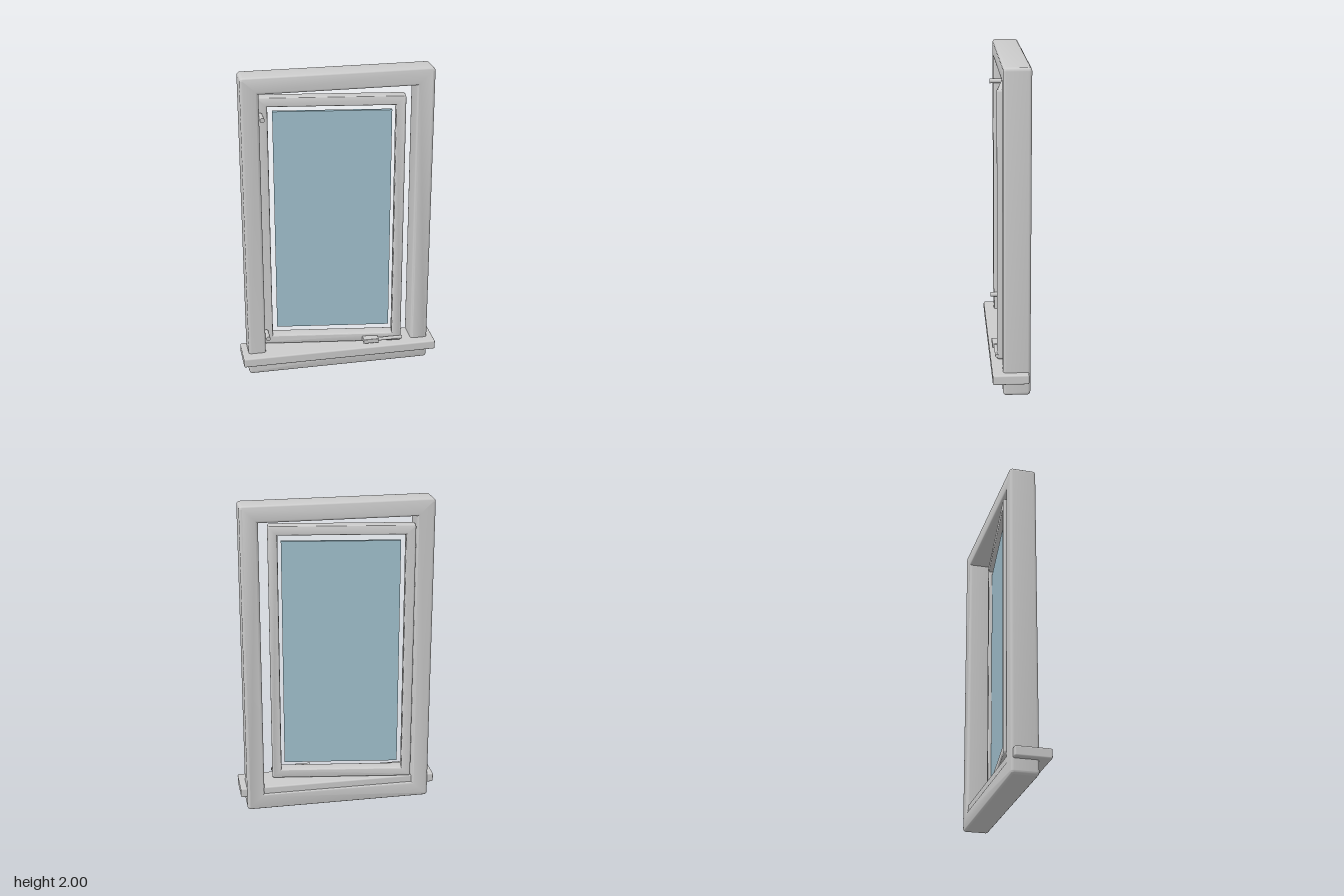
import * as THREE from 'three';
import { RoundedBoxGeometry } from 'three/addons/geometries/RoundedBoxGeometry.js';
import { toCreasedNormals } from 'three/addons/utils/BufferGeometryUtils.js';

const grey = new THREE.MeshStandardMaterial({ color: 0xcccccc });
const blue = new THREE.MeshStandardMaterial({ color: 0x9fbecb });

function addMesh(parent, name, geometry, material, x, y, z) {
  const mesh = new THREE.Mesh(geometry, material);
  mesh.name = name;
  mesh.position.set(x, y, z);
  parent.add(mesh);
  return mesh;
}

// Rectangular ring with rounded edges, centred on the origin
function ringGeometry(width, height, depth, openingW, openingH, bevel) {
  const r = 0.004;
  const w = width / 2 - bevel, h = height / 2 - bevel;
  const shape = new THREE.Shape();
  shape.absarc(w - r, h - r, r, 0, Math.PI / 2);
  shape.absarc(-w + r, h - r, r, Math.PI / 2, Math.PI);
  shape.absarc(-w + r, -h + r, r, Math.PI, Math.PI * 1.5);
  shape.absarc(w - r, -h + r, r, Math.PI * 1.5, Math.PI * 2);
  const ow = openingW / 2 + bevel, oh = openingH / 2 + bevel;
  const hole = new THREE.Path();
  hole.moveTo(-ow, -oh);
  hole.lineTo(-ow, oh);
  hole.lineTo(ow, oh);
  hole.lineTo(ow, -oh);
  hole.closePath();
  shape.holes.push(hole);
  const geometry = new THREE.ExtrudeGeometry(shape, {
    depth: depth - 2 * bevel, bevelEnabled: true, bevelSize: bevel,
    bevelThickness: bevel, bevelSegments: 4, curveSegments: 4,
  });
  geometry.translate(0, 0, -depth / 2 + bevel);
  return toCreasedNormals(geometry, 0.7);
}

export function createModel() {
  const model = new THREE.Group();
  model.name = 'casementWindow';

  // Fixed outer frame and sill
  addMesh(model, 'outerFrame', ringGeometry(1.19, 2, 0.165, 0.967, 1.785, 0.018), grey, 0, 1, -0.0275);
  addMesh(model, 'sill', new RoundedBoxGeometry(1.27, 0.062, 0.22, 3, 0.01), grey, 0, 0.121, 0.01);

  // Sash swung slightly open, with its pane
  const sash = new THREE.Group();
  sash.name = 'sash';
  sash.position.set(-0.0325, 1.0025, -0.02);
  sash.rotation.y = -0.14;
  model.add(sash);
  addMesh(sash, 'sashFrame', ringGeometry(0.9, 1.685, 0.08, 0.78, 1.565, 0.01), grey, 0, 0, 0);
  addMesh(sash, 'glassPane', new THREE.BoxGeometry(0.73, 1.48, 0.022), blue, 0.004, 0.002, -0.01);

  // Hinge pins
  for (const y of [0.263, 1.743]) {
    const pin = addMesh(model, 'hingePin', new THREE.CylinderGeometry(0.015, 0.015, 0.1, 20), grey, -0.47, y, 0.03);
    pin.rotation.x = Math.PI / 2;
  }

  // Opening handle: base block and arm
  addMesh(model, 'handleBase', new RoundedBoxGeometry(0.1, 0.03, 0.055, 2, 0.004), grey, 0.205, 0.186, 0.0765);
  const arm = addMesh(model, 'handleArm', new THREE.CylinderGeometry(0.011, 0.011, 0.165, 16), grey, 0.3325, 0.186, 0.083);
  arm.rotation.z = Math.PI / 2;

  return model;
}
